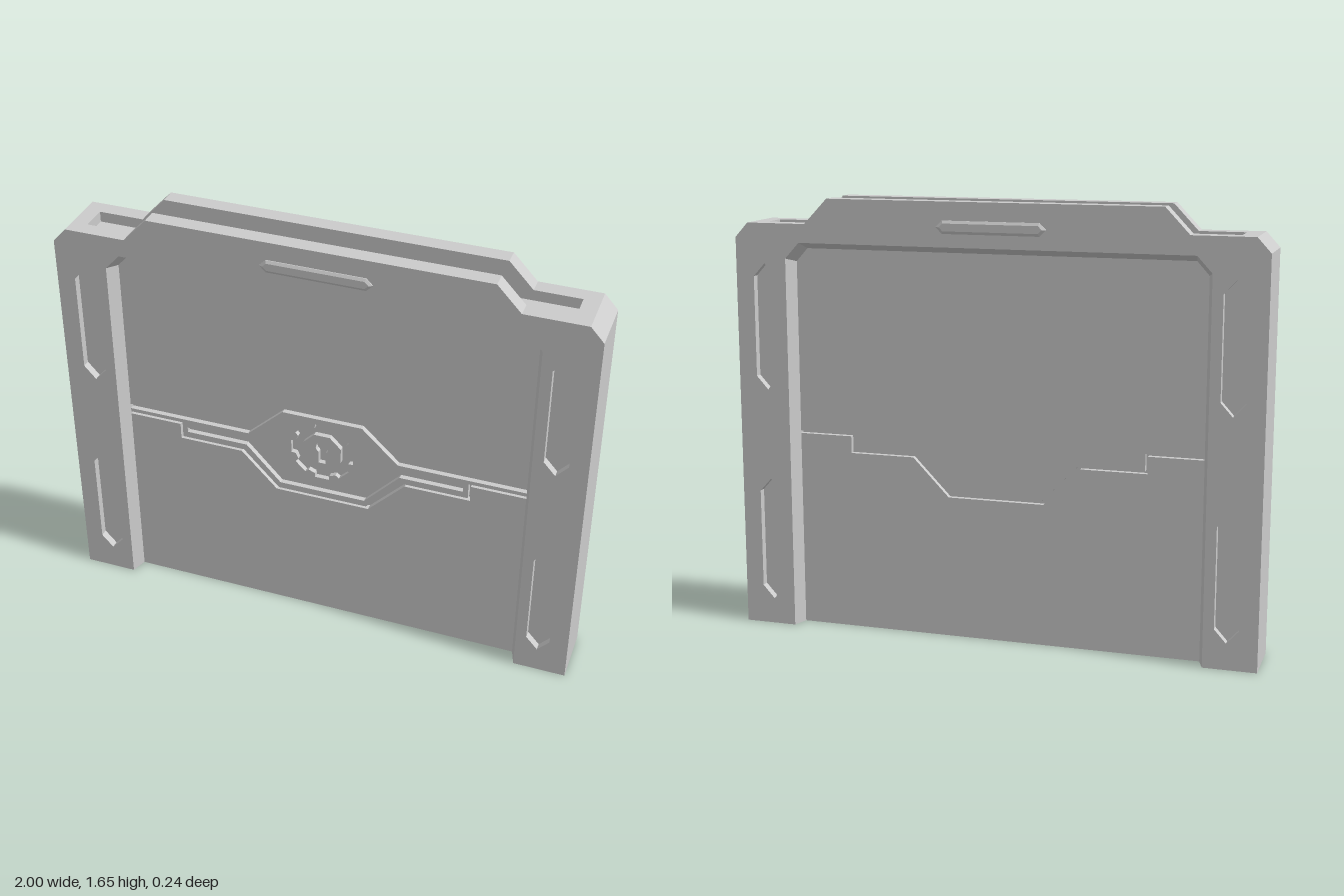
import * as THREE from 'three';

const material = new THREE.MeshStandardMaterial({ color: 0xcccccc, flatShading: true });

// Left half of a line, continued by its mirror image
const mirror = (pts) => [...pts, ...pts.slice().reverse().map(([x, y]) => [-x, y])];
const vec = (pts) => pts.map(([x, y]) => new THREE.Vector2(x, y));

function slab(name, pts, z0, z1, holes = []) {
  const shape = new THREE.Shape(vec(pts));
  holes.forEach((h) => shape.holes.push(new THREE.Path(vec(h))));
  const geo = new THREE.ExtrudeGeometry(shape, { depth: z1 - z0, bevelEnabled: false });
  geo.translate(0, 0, z0);
  const mesh = new THREE.Mesh(geo, material);
  mesh.name = name;
  return mesh;
}

// Upright hexagon with pointed ends
const pocket = (x, y0, y1) => [
  [x, y0], [x + 0.045, y0 + 0.05], [x + 0.045, y1 - 0.05],
  [x, y1], [x - 0.045, y1 - 0.05], [x - 0.045, y0 + 0.05],
];

// Lying hexagon of the badge
const badgeOutline = (w, h) => [
  [-w, 0], [-w + h, -h], [w - h, -h], [w, 0], [w - h, h], [-w + h, h],
];

// Sloping reveal between the face opening and the narrower door opening
function reveal(outer, inner, zOuter, zInner) {
  const p = [];
  const o = (i) => [...outer[i], zOuter];
  const n = (i) => [...inner[i], zInner];
  for (let i = 0; i < outer.length - 1; i++) {
    p.push(...o(i), ...n(i), ...o(i + 1), ...o(i + 1), ...n(i), ...n(i + 1));
  }
  // End caps at the floor
  for (const i of [0, outer.length - 1]) p.push(...o(i), ...n(i), ...outer[i], zInner);
  const geo = new THREE.BufferGeometry();
  geo.setAttribute('position', new THREE.Float32BufferAttribute(p, 3));
  geo.computeVertexNormals();
  const mat = material.clone();
  mat.side = THREE.DoubleSide;
  const mesh = new THREE.Mesh(geo, mat);
  mesh.name = 'openingReveal';
  return mesh;
}

function gearOutline(cy, rOut, rIn) {
  const pts = [];
  for (let i = 0; i < 8; i++) {
    for (const [da, r] of [[-0.27, rIn], [-0.22, rOut], [0.22, rOut], [0.27, rIn]]) {
      const a = (i * Math.PI) / 4 + da;
      pts.push([r * Math.cos(a), cy + r * Math.sin(a)]);
    }
  }
  return pts;
}

function keyhole(cy) {
  const pts = [[-0.014, cy - 0.05], [0.014, cy - 0.05]];
  for (let i = 0; i <= 12; i++) {
    const a = -1.0 + (i / 12) * (Math.PI + 2.0);
    pts.push([0.025 * Math.cos(a), cy + 0.02 + 0.025 * Math.sin(a)]);
  }
  return pts;
}

function createFrame() {
  const frame = new THREE.Group();
  frame.name = 'frame';
  const wide = mirror([[-0.8, 0], [-0.8, 1.43], [-0.745, 1.49]]);
  const narrow = mirror([[-0.78, 0], [-0.78, 1.415], [-0.735, 1.465]]);

  // Middle layer, lower at the top so that a slot stays open
  const core = mirror([[-1, 0], [-1, 1.505], [-0.95, 1.56], [-0.89, 1.56], [-0.89, 1.52]]);
  frame.add(slab('frameCore', [...core, ...narrow.slice().reverse()], -0.05, 0.05));

  const outline = mirror([[-1, 0], [-1, 1.505], [-0.95, 1.56], [-0.72, 1.56], [-0.63, 1.655]]);
  const pockets = [];
  for (const x of [-0.885, 0.885]) {
    pockets.push(pocket(x, 0.1, 0.58), pocket(x, 0.93, 1.41));
  }

  // Equal face plates on the front and the back
  for (const side of ['front', 'back']) {
    const face = new THREE.Group();
    face.name = side + 'Face';
    face.add(slab('facePlate', [...outline, ...wide.slice().reverse()], 0.05, 0.11, pockets));
    pockets.forEach((p) => face.add(slab('pocketFloor', p, 0.05, 0.08)));
    face.add(reveal(wide, narrow, 0.11, 0.05));

    // Badge with a sloped rim
    const badge = new THREE.Mesh(
      new THREE.ExtrudeGeometry(new THREE.Shape(vec(badgeOutline(0.192, 0.014))), {
        depth: 0.003, bevelThickness: 0.006, bevelSize: 0.01, bevelSegments: 1,
      }), material);
    badge.name = 'badge';
    badge.position.set(0, 1.563, 0.11);
    face.add(badge);
    if (side === 'back') face.rotation.y = Math.PI;
    frame.add(face);
  }
  return frame;
}

function createDoor() {
  const door = new THREE.Group();
  door.name = 'door';
  const cy = 0.765;
  const top = mirror([[-0.78, 1.415], [-0.735, 1.465]]);
  const seamLeft = [[-0.78, 0.765], [-0.565, 0.765], [-0.565, 0.7], [-0.315, 0.7], [-0.175, 0.555]];
  const seam = mirror(seamLeft);
  const seamBelow = mirror(seamLeft.map(([x, y], i) => [i ? x - 0.009 : x, y - 0.01]));

  // Two leaves that meet at the stepped seam, with a core behind it
  door.add(slab('upperLeaf', [...seam, ...top.slice().reverse()], -0.05, 0.03));
  door.add(slab('lowerLeaf', [[-0.78, 0], ...seamBelow, [0.78, 0]], -0.05, 0.05));
  const core = new THREE.Mesh(new THREE.BoxGeometry(1.56, 0.5, 0.055), material);
  core.name = 'seamCore';
  core.position.set(0, 0.7, -0.0025);
  door.add(core);

  // Front skin of the upper leaf, parted by a groove
  const grooveTop = mirror([[-0.78, 0.8], [-0.315, 0.8], [-0.17, 0.95]]);
  const grooveBottom = mirror([[-0.78, 0.78], [-0.295, 0.78], [-0.155, 0.912]]);
  door.add(slab('upperSkin', [...grooveTop, ...top.slice().reverse()], 0.03, 0.05));

  // Lock band with a lower groove and a gear-shaped recess
  const lowerGroove = [
    ...mirror([[-0.545, 0.745], [-0.285, 0.745], [-0.155, 0.613]]),
    ...mirror([[-0.545, 0.725], [-0.303, 0.725], [-0.168, 0.58]]).reverse(),
  ];
  door.add(slab('lockBand', [...seam, ...grooveBottom.slice().reverse()], 0.03, 0.05,
    [lowerGroove, gearOutline(cy, 0.125, 0.108)]));

  // Octagonal lock with a keyhole
  const octagon = [];
  for (let i = 0; i < 8; i++) {
    const a = ((i + 0.5) * Math.PI) / 4;
    octagon.push([0.08 * Math.cos(a), cy + 0.08 * Math.sin(a)]);
  }
  door.add(slab('lock', octagon, 0.03, 0.05, [keyhole(cy)]));
  return door;
}

export function createModel() {
  const model = new THREE.Group();
  model.name = 'gate';
  model.add(createFrame(), createDoor());
  return model;
}
